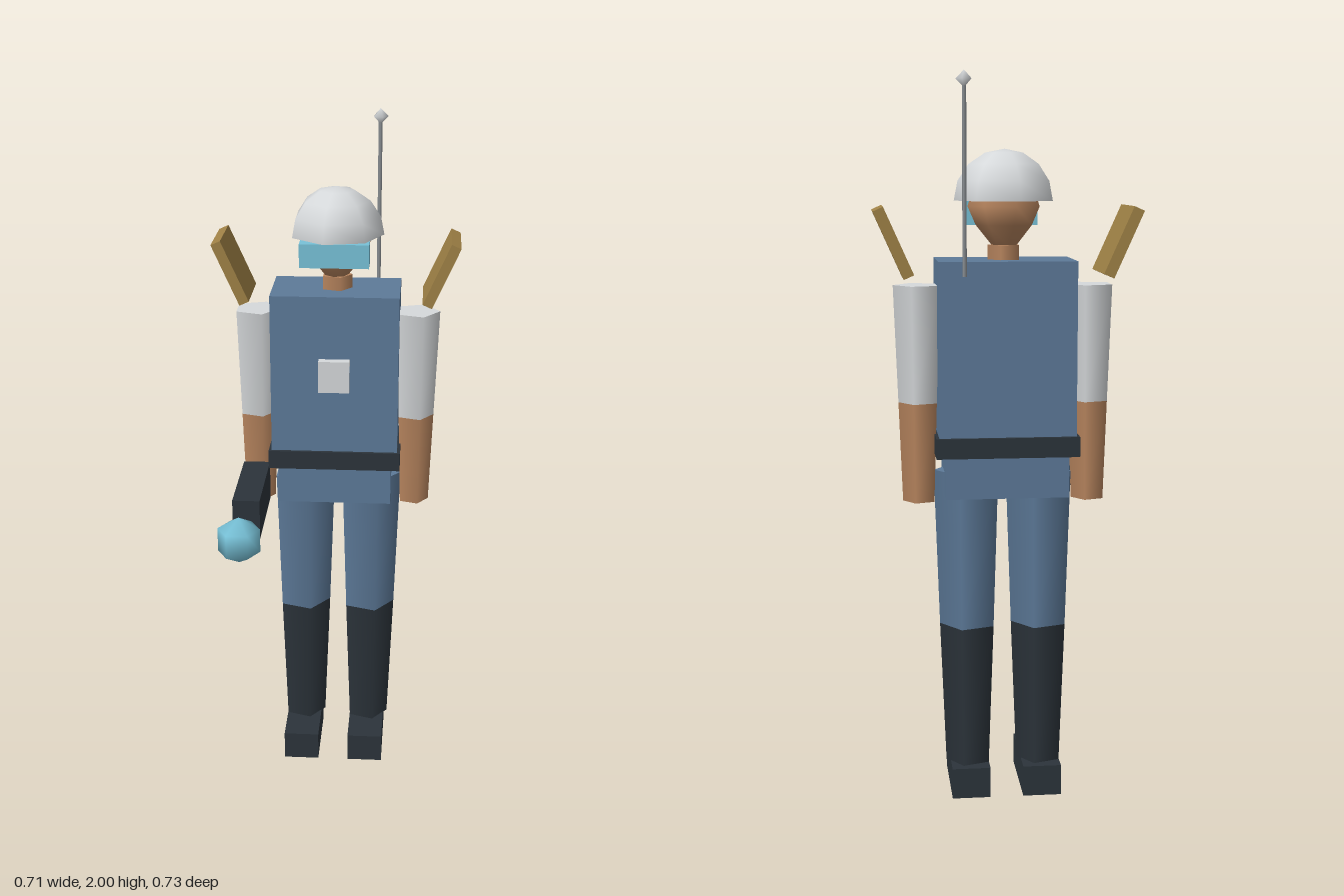
import * as THREE from 'three';

const mat = (name, color, side = THREE.FrontSide) => {
  const m = new THREE.MeshStandardMaterial({ color, side });
  m.name = name;
  return m;
};

export function createModel() {
  const blue = mat('blue cloth', 0x5d7a99);
  const dark = mat('dark leather', 0x2c343b);
  const skin = mat('skin', 0xb9865f);
  const white = mat('white armour', 0xd6d9db, THREE.DoubleSide);
  const cyan = mat('cyan glow', 0x78c2d8);
  const tan = mat('tan plate', 0xa08246);
  const grey = mat('grey metal', 0x8b9094);

  const group = new THREE.Group();
  const BODY_Z = -0.2175;

  const add = (name, geo, material, x, y, z) => {
    const mesh = new THREE.Mesh(geo, material);
    mesh.name = name;
    mesh.position.set(x, y, z);
    group.add(mesh);
    return mesh;
  };
  const box = (name, m, w, h, d, x, y, z) => add(name, new THREE.BoxGeometry(w, h, d), m, x, y, z);
  // Five-sided tapered limb with one corner towards +x
  const limb = (name, m, rTop, rBottom, y0, y1, x) =>
    add(name, new THREE.CylinderGeometry(rTop, rBottom, y1 - y0, 5, 1, false, Math.PI / 2), m, x, (y0 + y1) / 2, BODY_Z);

  // Torso, belt and hips
  box('torso', blue, 0.372, 0.525, 0.215, 0, 1.245, BODY_Z);
  box('belt', dark, 0.389, 0.055, 0.235, 0, 1.008, BODY_Z);
  box('hips', blue, 0.336, 0.12, 0.194, 0, 0.925, BODY_Z);
  box('chestPlate', white, 0.09, 0.094, 0.03, 0, 1.275, -0.099);

  for (const [side, s] of [['left', 1], ['right', -1]]) {
    // Legs
    box(side + 'Foot', dark, 0.107, 0.087, 0.25, s * 0.1, 0.0435, -0.176);
    limb(side + 'Boot', dark, 0.081, 0.065, 0.085, 0.49, s * 0.1);
    limb(side + 'Thigh', blue, 0.096, 0.081, 0.49, 0.93, s * 0.1);

    // Arms
    limb(side + 'Sleeve', white, 0.069, 0.057, 1.12, 1.44, s * 0.234);
    limb(side + 'Forearm', skin, 0.057, 0.047, 0.845, 1.12, s * 0.234);

    // Flared shoulder plates
    const plate = box(side + 'ShoulderPlate', tan, 0.03, 0.194, 0.195, s * 0.304, 1.558, -0.256);
    plate.rotation.z = -s * 0.42;
  }

  // Head
  limb('neck', skin, 0.046, 0.046, 1.5, 1.547, 0);
  const headProfile = [[0, 1.525], [0.032, 1.543], [0.078, 1.6], [0.1, 1.65], [0.075, 1.725], [0, 1.755]]
    .map(([r, y]) => new THREE.Vector2(r, y));
  add('head', new THREE.LatheGeometry(headProfile, 7, Math.PI / 2), skin, 0, 0, BODY_Z);
  box('visor', cyan, 0.197, 0.068, 0.062, 0, 1.631, -0.12);
  const helmet = new THREE.SphereGeometry(0.137, 7, 4, 0, Math.PI * 2, 0, Math.PI / 2).rotateY(Math.PI);
  add('helmet', helmet, white, 0, 1.665, BODY_Z);

  // Antenna on the back
  add('antennaRod', new THREE.CylinderGeometry(0.006, 0.006, 0.5, 5), grey, 0.118, 1.72, -0.345);
  add('antennaTip', new THREE.SphereGeometry(0.0225, 5, 2).rotateY(Math.PI), white, 0.118, 1.9775, -0.345);

  // Hand weapon and its glowing charge
  box('blaster', dark, 0.078, 0.116, 0.293, -0.235, 0.922, -0.003);
  add('energyBall', new THREE.SphereGeometry(0.0675, 6, 3), cyan, -0.235, 0.938, 0.312);

  return group;
}
